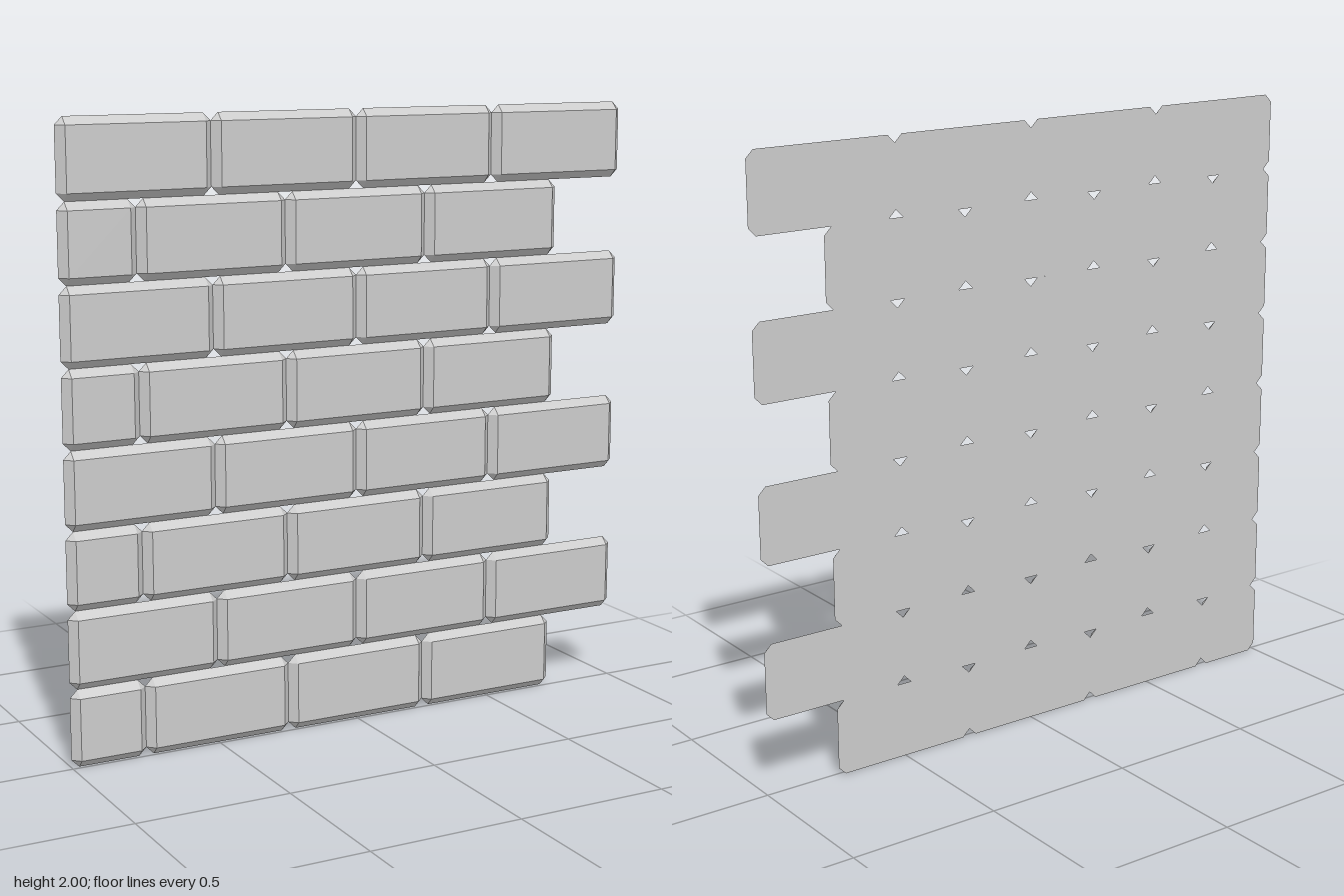
import * as THREE from 'three';
import { ConvexGeometry } from 'three/addons/geometries/ConvexGeometry.js';

const ROWS = 8, HEIGHT = 0.25, LENGTH = 0.5, BEVEL = 0.025, HALF_DEPTH = 0.0125;

// Flat-backed brick face: octagonal back outline sloping to a smaller front rectangle
function brickGeometry(width) {
  const w = width / 2, h = HEIGHT / 2, b = BEVEL, d = HALF_DEPTH;
  const points = [];
  for (const sx of [-1, 1]) {
    for (const sy of [-1, 1]) {
      points.push(
        new THREE.Vector3(sx * (w - b), sy * (h - b), d),
        new THREE.Vector3(sx * w, sy * (h - b), -d),
        new THREE.Vector3(sx * (w - b), sy * h, -d)
      );
    }
  }
  return new ConvexGeometry(points);
}

export function createModel() {
  const wall = new THREE.Group();
  wall.name = 'brickWall';
  const material = new THREE.MeshStandardMaterial({ color: 0xcccccc, flatShading: true });
  const full = brickGeometry(LENGTH);
  const half = brickGeometry(LENGTH / 2);

  // Running bond: even rows start with a half brick and stop short on the other side
  for (let row = 0; row < ROWS; row++) {
    const course = new THREE.Group();
    course.name = `course${row + 1}`;
    course.position.y = (row + 0.5) * HEIGHT;
    let x = -1;
    for (let i = 0; i < 4; i++) {
      const isHalf = row % 2 === 0 && i === 0;
      const width = isHalf ? LENGTH / 2 : LENGTH;
      const brick = new THREE.Mesh(isHalf ? half : full, material);
      brick.name = isHalf ? 'halfBrick' : 'brick';
      brick.position.x = x + width / 2;
      course.add(brick);
      x += width;
    }
    wall.add(course);
  }
  return wall;
}
